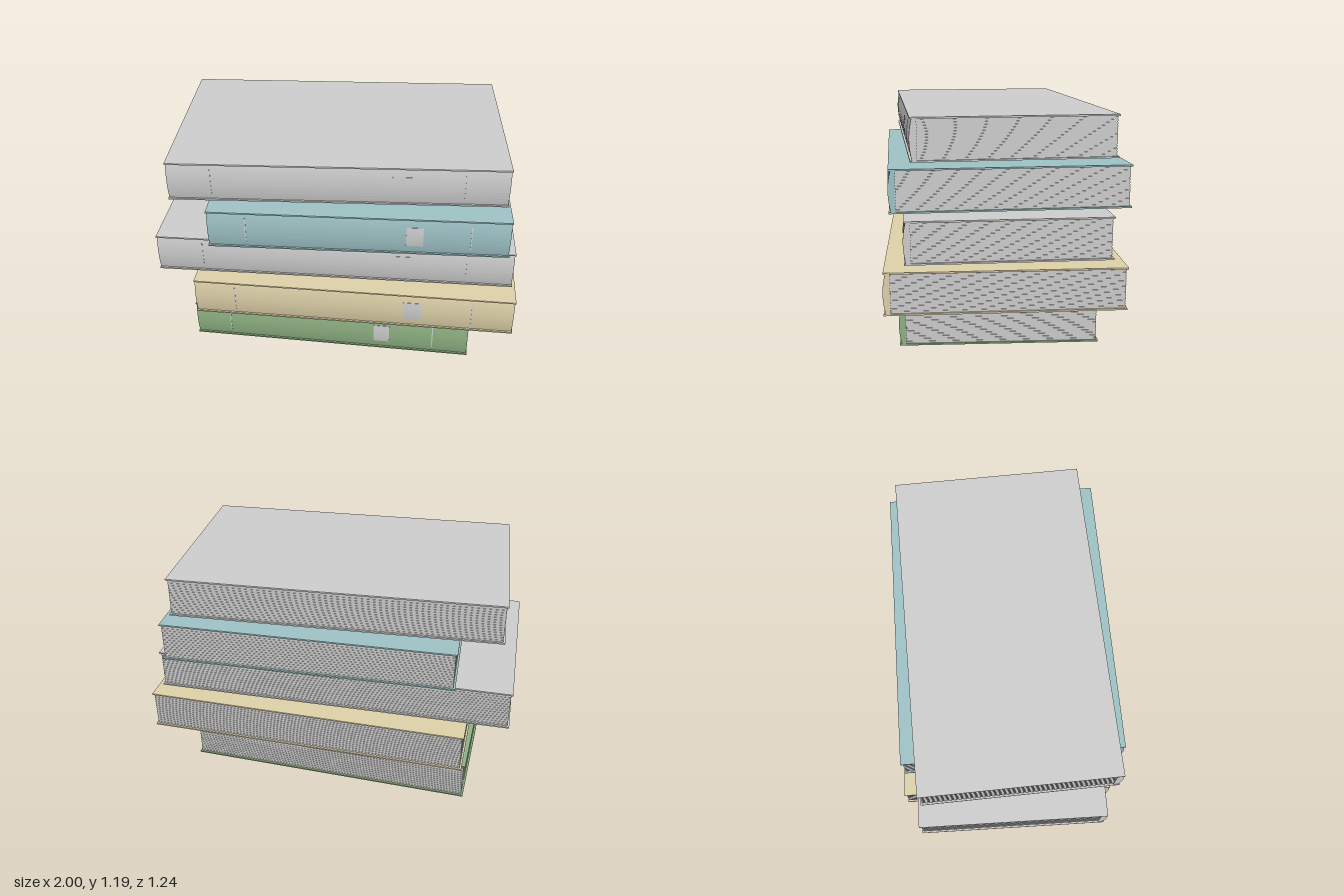
import * as THREE from 'three';
import { mergeGeometries } from 'three/addons/utils/BufferGeometryUtils.js';

const mat = (name, color) => {
  const m = new THREE.MeshStandardMaterial({ color });
  m.name = name;
  return m;
};

const T = 0.2165;      // book thickness
const COVER = 0.008;   // board thickness
const PITCH = 0.2445;  // vertical spacing of the stack
const BULGE = 0.013;   // how far the spine rounds outward

function box(w, h, d, x, y, z) {
  return new THREE.BoxGeometry(w, h, d).translate(x, y, z);
}

// Offset of the rounded spine at height y (0 at the boards, BULGE in the middle)
function spineOffset(y) {
  const t = (y - T / 2) / (T / 2 - COVER);
  return BULGE * (1 - t * t);
}

// Solid following the spine curve between two heights, extruded along x
function spineStrip(width, x, y0, y1, inner, outer) {
  const shape = new THREE.Shape();
  const n = 10;
  const at = (i) => y0 + ((y1 - y0) * i) / n;
  // shape x becomes -z after the turn below
  for (let i = 0; i <= n; i++) {
    const px = -(outer + spineOffset(at(i)));
    if (i === 0) shape.moveTo(px, at(i));
    else shape.lineTo(px, at(i));
  }
  const back = (i) => -(inner.follow ? inner.z + spineOffset(at(i)) : inner.z);
  for (let i = n; i >= 0; i--) shape.lineTo(back(i), at(i));
  shape.closePath();
  const geo = new THREE.ExtrudeGeometry(shape, { depth: width, bevelEnabled: false, steps: 1 });
  return geo.rotateY(Math.PI / 2).translate(x - width / 2, 0, 0);
}

function makeBook(name, w, d, cover, paper) {
  const book = new THREE.Group();
  book.name = name;
  const add = (part, geo, m) => {
    const mesh = new THREE.Mesh(geo, m);
    mesh.name = part;
    book.add(mesh);
  };

  // Boards
  add('bottomCover', box(w, COVER, d, 0, COVER / 2, 0), cover);
  add('topCover', box(w, COVER, d, 0, T - COVER / 2, 0), cover);

  // Rounded spine
  const face = d / 2 - 0.01;
  add('spine', spineStrip(w - 0.008, 0, COVER, T - COVER, { z: d / 2 - 0.034 }, face), cover);

  // Page block: a core with slightly proud sheets
  const h = T - 2 * COVER;
  const back = -d / 2 + 0.009;
  const front = d / 2 - 0.034;
  const mid = (front + back) / 2;
  const sheets = 14;
  const step = h / sheets;
  const parts = [box(w - 0.022, h, front - back - 0.002, 0, T / 2, mid + 0.001)];
  for (let i = 0; i < sheets; i++) {
    parts.push(box(w - 0.018, step * 0.55, front - back, 0, COVER + step * (i + 0.5), mid));
  }
  add('pages', mergeGeometries(parts), paper);

  // Spine bands and label
  const plate = (pw, x, y0, y1) =>
    spineStrip(pw, x, y0, y1, { z: face - 0.002, follow: true }, face + 0.002);
  for (const s of [-1, 1]) {
    add(s < 0 ? 'rightBand' : 'leftBand', plate(w * 0.004, s * w * 0.371, 0.035, T - 0.035), paper);
  }
  add('spineLabel', plate(w * 0.0565, w * 0.187, 0.053, 0.165), paper);
  return book;
}

export function createModel() {
  const group = new THREE.Group();
  group.name = 'bookStack';
  const paper = mat('paperGrey', 0xcccccc);
  const green = mat('sageGreen', 0x8eb183);
  const sand = mat('sand', 0xddd0a8);
  const teal = mat('paleTeal', 0x9dc1c4);

  // name, width, depth, centre x, turn, cover colour; bottom to top
  const books = [
    ['greenBook', 1.58, 1.03, -0.025, -0.041, green],
    ['sandBook', 1.77, 1.195, 0.0975, -0.022, sand],
    ['longGreyBook', 1.95, 1.03, -0.025, 0, paper],
    ['tealBook', 1.585, 1.195, 0.1, 0.02, teal],
    ['topGreyBook', 1.77, 1.03, -0.022, 0.0435, paper],
  ];
  books.forEach(([name, w, d, x, turn, cover], i) => {
    const book = makeBook(name, w, d, cover, paper);
    book.position.set(x, i * PITCH, 0);
    book.rotation.y = turn;
    group.add(book);
  });
  return group;
}
